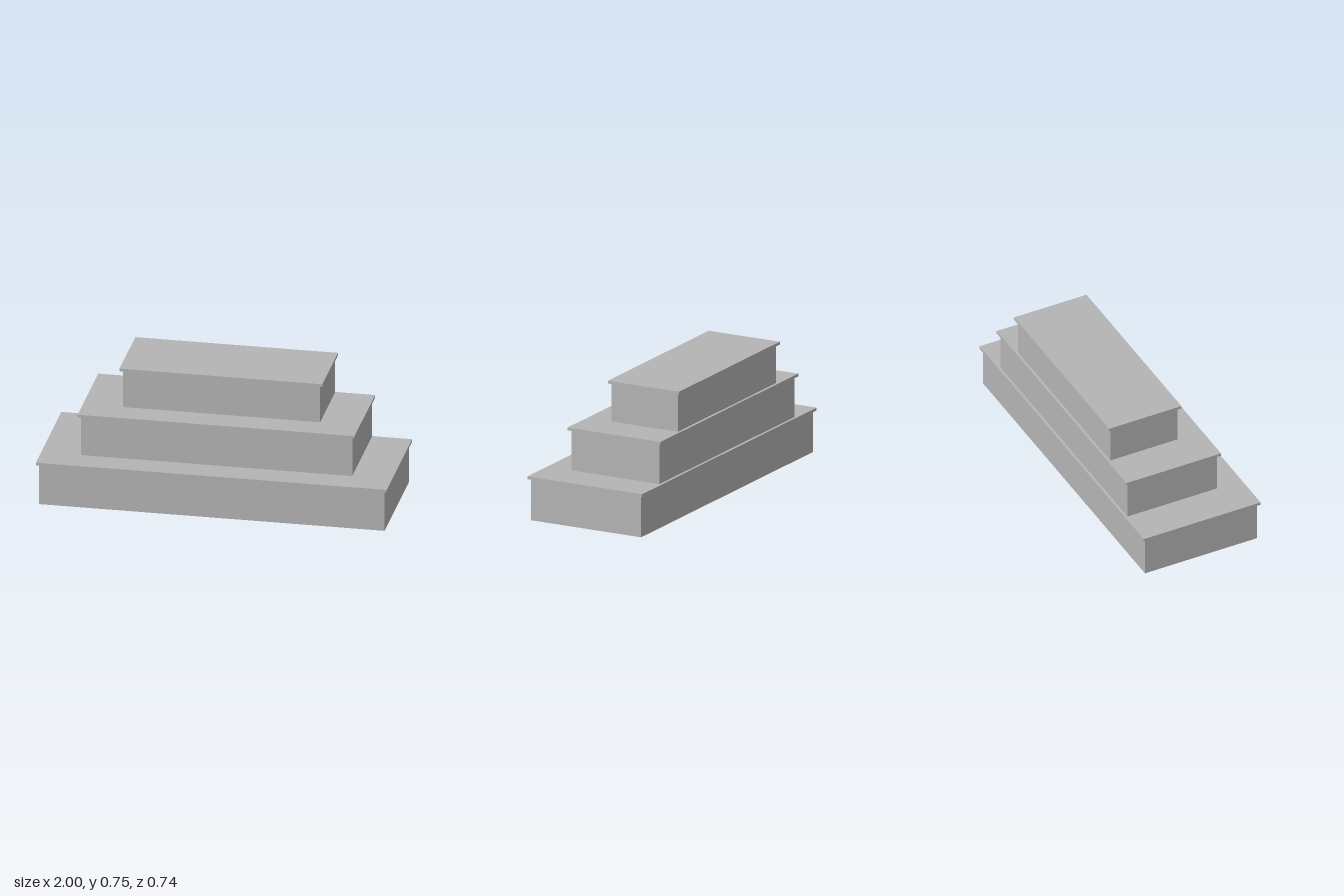
import * as THREE from 'three';

export function createModel() {
  const model = new THREE.Group();
  model.name = 'steppedPlatform';

  const stone = new THREE.MeshStandardMaterial({ color: 0xb4b4b4 });
  stone.name = 'grey stone';

  // Box given by its half width, vertical span and depth span
  const block = (name, halfWidth, bottom, top, back, front) => {
    const mesh = new THREE.Mesh(
      new THREE.BoxGeometry(halfWidth * 2, top - bottom, front - back), stone);
    mesh.position.set(0, (bottom + top) / 2, (back + front) / 2);
    mesh.name = name;
    return mesh;
  };

  const slab = 0.016; // slab thickness, also its overhang on every side
  const back = -0.352; // tiers share one flush back plane
  const tiers = [
    { name: 'lower', halfWidth: 0.984, front: 0.352, bottom: 0, top: 0.257 },
    { name: 'middle', halfWidth: 0.773, front: 0.212, bottom: 0.257, top: 0.508 },
    { name: 'upper', halfWidth: 0.562, front: 0.072, bottom: 0.508, top: 0.747 },
  ];

  // Each tier is a solid riser capped by an overhanging slab
  for (const { name, halfWidth, front, bottom, top } of tiers) {
    const tier = new THREE.Group();
    tier.name = `${name}Tier`;
    tier.add(
      block(`${name}Riser`, halfWidth, bottom, top - slab, back, front),
      block(`${name}Slab`, halfWidth + slab, top - slab, top, back - slab, front + slab));
    model.add(tier);
  }
  return model;
}
